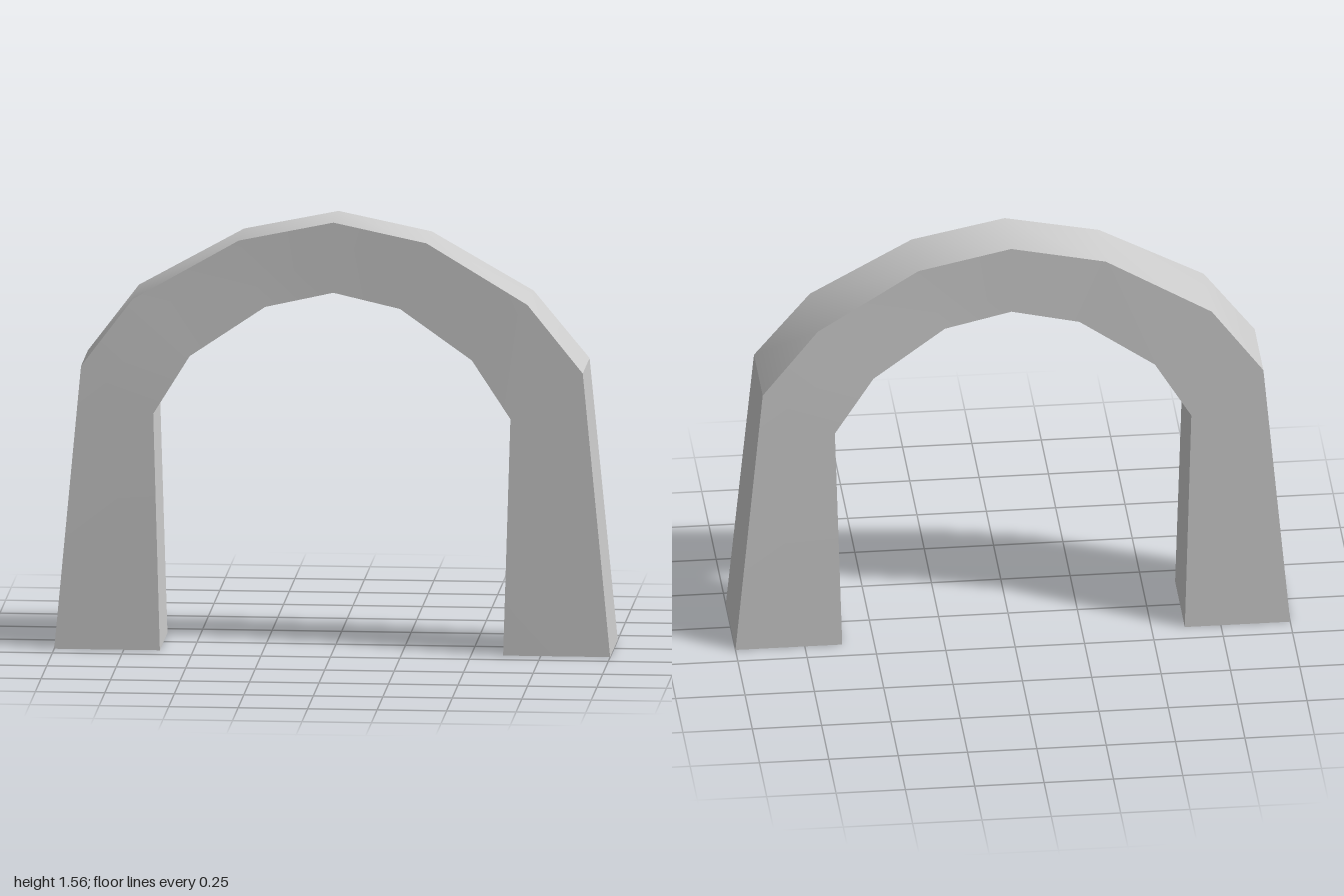
import * as THREE from 'three';
import { toCreasedNormals } from 'three/addons/utils/BufferGeometryUtils.js';

// Sections along the arch, from the left foot over the crown to the right foot:
// inner x, y, half depth, then outer x, y, half depth
const SECTIONS = [
  [0.615, 0, 0.168, 1, 0, 0.168],
  [0.64, 0.86, 0.153, 0.9, 1.03, 0.151],
  [0.5, 1.07, 0.141, 0.7, 1.275, 0.14],
  [0.24, 1.25, 0.121, 0.335, 1.49, 0.117],
  [0, 1.305, 0.119, 0, 1.56, 0.114],
  [-0.245, 1.25, 0.121, -0.34, 1.49, 0.117],
  [-0.515, 1.07, 0.141, -0.72, 1.275, 0.14],
  [-0.645, 0.86, 0.153, -0.905, 1.03, 0.151],
  [-0.62, 0, 0.168, -1, 0, 0.168],
];

// Joins four-cornered sections into a closed solid
function loftGeometry(sections) {
  const positions = [];
  const index = [];
  for (const [ix, iy, iz, ox, oy, oz] of sections) {
    positions.push(ix, iy, iz, ox, oy, oz, ox, oy, -oz, ix, iy, -iz);
  }
  for (let i = 0; i < sections.length - 1; i++) {
    for (let k = 0; k < 4; k++) {
      const a = i * 4 + k;
      const b = i * 4 + ((k + 1) % 4);
      index.push(a, b, b + 4, a, b + 4, a + 4);
    }
  }
  // Soles of the two feet
  const e = (sections.length - 1) * 4;
  index.push(0, 2, 1, 0, 3, 2, e, e + 1, e + 2, e, e + 2, e + 3);

  const geometry = new THREE.BufferGeometry();
  geometry.setAttribute('position', new THREE.Float32BufferAttribute(positions, 3));
  geometry.setIndex(index);
  // Smooth over the curve, sharp at the shoulders and edges
  return toCreasedNormals(geometry, THREE.MathUtils.degToRad(30));
}

export function createModel() {
  const group = new THREE.Group();
  group.name = 'archway';
  const arch = new THREE.Mesh(
    loftGeometry(SECTIONS),
    new THREE.MeshStandardMaterial({ color: 0xcccccc })
  );
  arch.name = 'arch';
  group.add(arch);
  return group;
}
